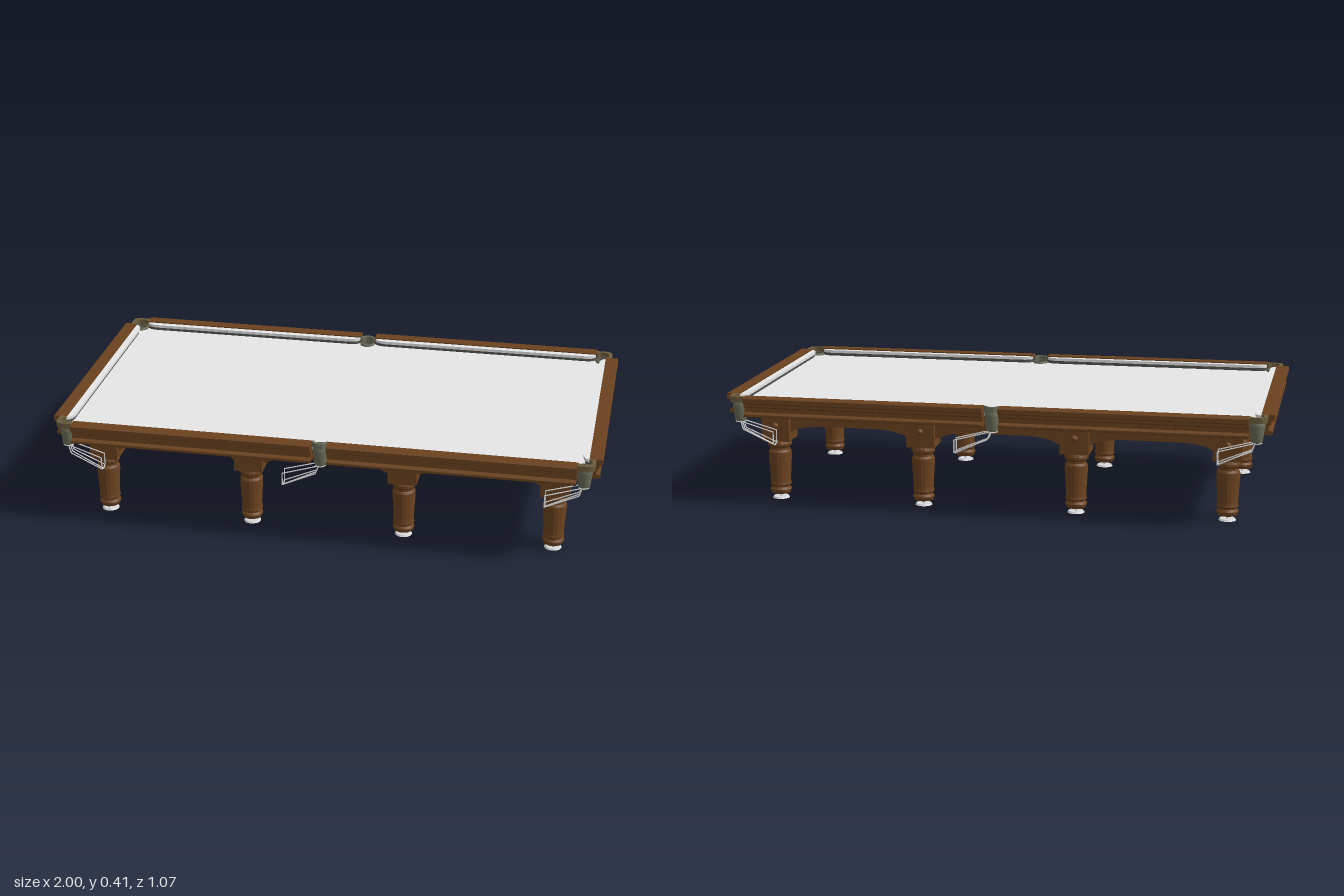
import * as THREE from 'three';
import { toCreasedNormals } from 'three/addons/utils/BufferGeometryUtils.js';

const mat = (name, color, side = THREE.FrontSide) => {
  const m = new THREE.MeshStandardMaterial({ color, side });
  m.name = name;
  return m;
};
const V = (x, y, z) => new THREE.Vector3(x, y, z);
const V2 = (p) => new THREE.Vector2(p[0], p[1]);

export function createModel() {
  const model = new THREE.Group();
  model.name = 'billiardTable';
  const wood = mat('brown wood', 0x6b421e);
  const cloth = mat('pale grey cloth', 0xe6e6e6);
  const rubber = mat('dark cushion rubber', 0x50544f);
  const pocketMat = mat('grey green pocket', 0x6c6e5a, THREE.DoubleSide);
  const bronze = mat('olive bronze', 0x6b5c3c);
  const metal = mat('pale metal', 0xd8d8d8);

  const add = (name, geo, material, x = 0, y = 0, z = 0, ry = 0, parent = model) => {
    const m = new THREE.Mesh(geo, material);
    m.name = name;
    m.position.set(x, y, z);
    m.rotation.y = ry;
    parent.add(m);
    return m;
  };
  const extrude = (shape, depth) =>
    new THREE.ExtrudeGeometry(shape, { depth, bevelEnabled: false, curveSegments: 14 });
  // plan shape (x, -z) raised along y
  const slab = (shape, depth) => extrude(shape, depth).rotateX(-Math.PI / 2);
  const rod = (name, a, b, parent) => {
    const m = add(name, new THREE.CylinderGeometry(0.0023, 0.0023, a.distanceTo(b), 6), metal, 0, 0, 0, 0, parent);
    m.position.copy(a).lerp(b, 0.5);
    m.quaternion.setFromUnitVectors(V(0, 1, 0), b.clone().sub(a).normalize());
  };

  // Bed outline with round bites for the six pockets
  const arc = (cx, cy, r, a0, a1, n) => Array.from({ length: n + 1 }, (_, i) => {
    const a = a0 + ((a1 - a0) * i) / n;
    return [cx + r * Math.cos(a), cy + r * Math.sin(a)];
  });
  const quarter = [
    ...arc(0.94, 0.48, 0.03, -1.159, -3.377, 10),
    ...arc(0, 0.48, 0.028, 0.253, -1.45, 7),
  ];
  const flip = (pts, sx, sy) => pts.map(([x, y]) => [x * sx, y * sy]);
  const outline = new THREE.Shape([
    ...quarter,
    ...flip(quarter, -1, 1).reverse(),
    ...flip(quarter, -1, -1),
    ...flip(quarter, 1, -1).reverse(),
  ].map(V2));
  add('bedBase', slab(outline, 0.036), wood, 0, 0.34, 0);
  add('playingCloth', slab(outline, 0.01), cloth, 0, 0.376, 0);

  // Moulded rails and cushions; local +x points outward from the table
  const railProfile = new THREE.Shape([
    [-0.048, 0.34], [-0.01, 0.34], [-0.008, 0.343], [-0.008, 0.35], [-0.012, 0.354],
    [-0.022, 0.357], [-0.022, 0.373], [-0.013, 0.378], [-0.013, 0.388], [-0.003, 0.391],
    [0, 0.394], [0, 0.41], [-0.003, 0.413], [-0.048, 0.413],
  ].map(V2));
  const cushionShape = (h, nose) => {
    const c = new THREE.Shape();
    c.moveTo(-0.046, -h);
    c.lineTo(-0.046, h);
    c.lineTo(-0.048, h);
    c.quadraticCurveTo(nose, h - 0.01, nose, h - 0.045);
    c.lineTo(nose, 0.045 - h);
    c.quadraticCurveTo(nose, 0.01 - h, -0.048, -h);
    return c;
  };
  const rail = (angle, out, along, length) => {
    const g = new THREE.Group();
    g.name = 'railSection';
    g.rotation.y = angle;
    model.add(g);
    add('rail', extrude(railProfile, length), wood, out, 0, along - length / 2, 0, g);
    const h = length / 2 - 0.002;
    add('cushion', slab(cushionShape(h, -0.071), 0.011), cloth, out, 0.398, along, 0, g);
    add('cushionBase', slab(cushionShape(h, -0.066), 0.014), rubber, out, 0.384, along, 0, g);
  };
  for (const s of [0, 1]) {
    rail(s * Math.PI, 1, 0, 0.91);
    for (const along of [-0.4715, 0.4715]) rail((s - 0.5) * Math.PI, 0.535, along, 0.885);
  }

  // Pocket caps: an L-shaped corner bracket and a half ring for the sides
  const corner = new THREE.Shape();
  corner.moveTo(0.012, -0.028);
  corner.lineTo(0.036, -0.028);
  corner.lineTo(0.036, 0.008);
  corner.quadraticCurveTo(0.036, 0.036, 0.008, 0.036);
  corner.lineTo(-0.028, 0.036);
  corner.lineTo(-0.028, 0.012);
  corner.absarc(0, 0, 0.0242, 2.622, -1.051, true);
  const cornerCap = toCreasedNormals(slab(corner, 0.021), 0.6);
  const side = new THREE.Shape();
  side.absarc(0, 0, 0.03, -1.5, 1.5, false);
  side.absarc(0, 0, 0.021, 1.5, -1.5, true);
  const sideCap = toCreasedNormals(slab(side, 0.02), 0.6);
  const cup = new THREE.LatheGeometry(
    [[0.017, 0.318], [0.021, 0.32], [0.024, 0.345], [0.028, 0.375], [0.029, 0.393], [0.021, 0.393]].map(V2), 24);

  // Pockets: cap, tapered cup and wire ball runner
  const pocket = (x, z, dir) => {
    const g = new THREE.Group();
    g.name = x ? 'cornerPocket' : 'sidePocket';
    g.position.set(x, 0, z);
    model.add(g);
    const sz = Math.sign(z);
    if (x) add('cornerBracket', cornerCap, bronze, 0, 0.392, 0, Math.atan2(-sz, Math.sign(x)) - Math.PI / 4, g);
    else add('sideCap', sideCap, pocketMat, 0, 0.391, 0, -sz * Math.PI / 2, g);
    add('pocketCup', cup, pocketMat, 0, 0, 0, 0, g);
    const ring = add('wireRing', new THREE.TorusGeometry(0.018, 0.002, 6, 20), metal, 0, 0.316, 0, 0, g);
    ring.rotation.x = Math.PI / 2;
    const wires = [-0.016, 0, 0.016].map((o) => ({
      a: V(dir * 0.004, 0.318, o),
      b: V(dir * 0.015, 0.29, o + sz * 0.008),
      c: V(dir * 0.133, o === 0 ? 0.235 : 0.242, o * 1.2 + sz * 0.018),
    }));
    for (const w of wires) {
      rod('runnerDrop', w.a, w.b, g);
      rod('runnerWire', w.b, w.c, g);
    }
    for (const w of [wires[0], wires[2]]) {
      const top = w.c.clone().setY(0.287);
      rod('runnerStop', w.c, top, g);
      rod('runnerGuard', w.a, top, g);
      rod('runnerEnd', w.c, wires[1].c, g);
    }
  };
  for (const sz of [-1, 1]) {
    for (const sx of [-1, 1]) pocket(sx * 0.94, sz * 0.48, -sx);
    pocket(0, sz * 0.48, -sz);
  }

  // Eight turned legs with blocks, bolts and levelling feet
  const legGeo = toCreasedNormals(new THREE.LatheGeometry([
    [0, 0.02], [0.035, 0.02], [0.04, 0.032], [0.04, 0.036], [0.034, 0.044], [0.034, 0.048],
    [0.04, 0.054], [0.038, 0.062], [0.037, 0.07], [0.043, 0.165], [0.042, 0.18], [0.036, 0.188],
    [0.036, 0.196], [0.044, 0.204], [0.044, 0.212], [0.038, 0.226],
  ].map(V2), 16), 0.35);
  const blockGeo = new THREE.BoxGeometry(0.105, 0.114, 0.105);
  const boltGeo = new THREE.SphereGeometry(0.013, 14, 10);
  for (const sz of [-1, 1]) {
    for (const x of [-0.835, -0.285, 0.285, 0.835]) {
      const z = sz * 0.356;
      add('leg', legGeo, wood, x, 0, z);
      add('legBlock', blockGeo, wood, x, 0.283, z);
      add('bolt', boltGeo, wood, x, 0.285, z + sz * 0.052);
      if (Math.abs(x) > 0.5) add('bolt', boltGeo, wood, x + Math.sign(x) * 0.052, 0.285, z);
      add('footStem', new THREE.CylinderGeometry(0.004, 0.004, 0.02, 10), metal, x, 0.013, z);
      add('footDisc', new THREE.CylinderGeometry(0.028, 0.032, 0.006, 20), metal, x, 0.003, z);
    }
  }

  // Arched aprons between the leg blocks
  const apron = (span) => {
    const h = span / 2;
    const s = new THREE.Shape();
    s.moveTo(-h, 0.341);
    s.lineTo(-h, 0.258);
    s.lineTo(-h + 0.02, 0.26);
    s.quadraticCurveTo(-h + 0.05, 0.283, -h + 0.15, 0.284);
    s.lineTo(h - 0.15, 0.284);
    s.quadraticCurveTo(h - 0.05, 0.283, h - 0.02, 0.26);
    s.lineTo(h, 0.258);
    s.lineTo(h, 0.341);
    return extrude(s, 0.03).translate(0, 0, -0.015);
  };
  const longApron = apron(0.475);
  const endApron = apron(0.62);
  for (const s of [-1, 1]) {
    for (const x of [-0.56, 0, 0.56]) add('sideApron', longApron, wood, x, 0, s * 0.372);
    add('endApron', endApron, wood, s * 0.851, 0, 0, Math.PI / 2);
  }
  return model;
}
